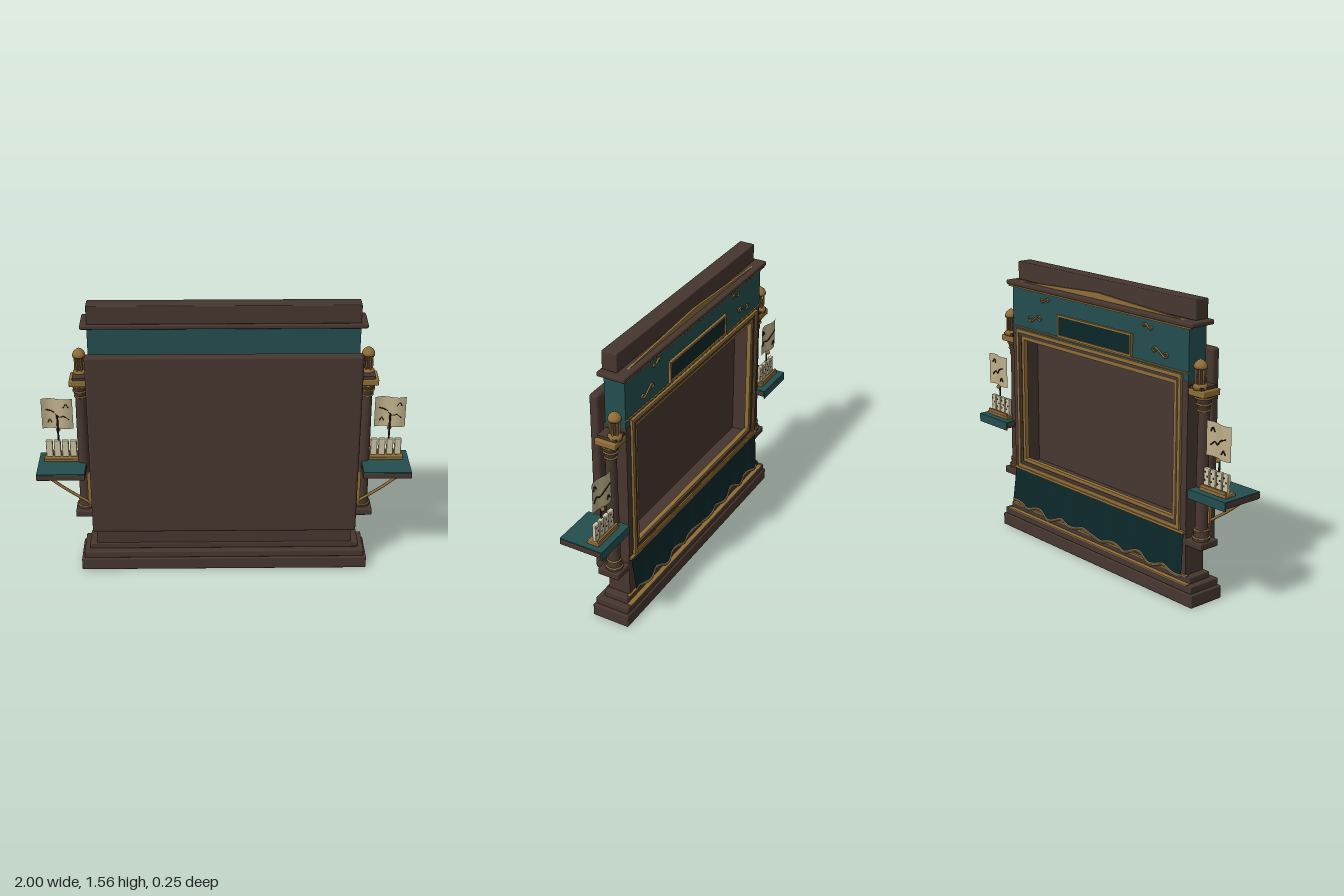
import * as THREE from 'three';
import { RoundedBoxGeometry } from 'three/addons/geometries/RoundedBoxGeometry.js';

const mat = (name, color, side = THREE.FrontSide) => {
  const m = new THREE.MeshStandardMaterial({ color, side });
  m.name = name;
  return m;
};

export function createModel() {
  const root = new THREE.Group();
  root.name = 'puppetTheatre';
  const wood = mat('dark wood', 0x47362f);
  const teal = mat('teal', 0x234e4f);
  const deep = mat('deep teal', 0x0b2728, THREE.DoubleSide);
  const gold = mat('old gold', 0x8f6d38);
  const paper = mat('paper', 0xbfb08a, THREE.DoubleSide);
  const ivory = mat('ivory', 0xcfc5a4);
  const ink = mat('ink', 0x2a211b);

  const add = (name, geo, m, x = 0, y = 0, z = 0, parent = root) => {
    const o = new THREE.Mesh(geo, m);
    o.name = name;
    o.position.set(x, y, z);
    parent.add(o);
    return o;
  };
  // box given by its limits on each axis; r rounds its edges
  const box = (name, m, x0, x1, y0, y1, z0, z1, r = 0, parent = root) => {
    const w = Math.abs(x1 - x0), h = y1 - y0, d = z1 - z0;
    const g = r ? new RoundedBoxGeometry(w, h, d, 2, r) : new THREE.BoxGeometry(w, h, d);
    return add(name, g, m, (x0 + x1) / 2, (y0 + y1) / 2, (z0 + z1) / 2, parent);
  };
  const tube = (name, m, pts, r, parent = root, n = 24) =>
    add(name, new THREE.TubeGeometry(new THREE.CatmullRomCurve3(pts.map(p => new THREE.Vector3(...p))), n, r, 6), m, 0, 0, 0, parent);
  // rectangular ring extruded along z from z0
  const ring = (name, m, x, y0, y1, t, z0, d) => {
    const s = new THREE.Shape([[-x, y0], [x, y0], [x, y1], [-x, y1]].map(p => new THREE.Vector2(...p)));
    s.holes.push(new THREE.Path([[-x + t, y0 + t], [-x + t, y1 - t], [x - t, y1 - t], [x - t, y0 + t]].map(p => new THREE.Vector2(...p))));
    return add(name, new THREE.ExtrudeGeometry(s, { depth: d, bevelEnabled: false }), m, 0, 0, z0);
  };
  const lathe = (name, m, pts, x, y, z, parent) =>
    add(name, new THREE.LatheGeometry(pts.map(p => new THREE.Vector2(...p)), 24), m, x, y, z, parent);

  // Stepped base
  box('baseStep', wood, -0.785, 0.785, 0, 0.07, -0.122, 0.09, 0.006);
  box('baseStep', wood, -0.77, 0.77, 0.07, 0.11, -0.115, 0.08, 0.006);
  box('baseStep', wood, -0.74, 0.74, 0.11, 0.145, -0.093, 0.047, 0.006);
  box('baseTrim', gold, -0.74, 0.74, 0.108, 0.114, -0.118, -0.09);
  box('baseTrim', gold, -0.72, 0.72, 0.142, 0.15, -0.097, -0.08);

  // Stage box, open to the back
  box('lowerBody', wood, -0.7, 0.7, 0.145, 0.41, -0.085, 0.04);
  box('stageWall', wood, -0.7, 0.7, 0.41, 1.16, 0.02, 0.04);
  for (const s of [-1, 1]) box('stageSide', wood, s * 0.62, s * 0.7, 0.41, 1.16, -0.088, 0.02);
  box('header', teal, -0.7, 0.7, 1.16, 1.43, -0.086, 0.03);
  box('cornice', wood, -0.735, 0.735, 1.43, 1.455, -0.105, 0.05, 0.008);
  box('topRail', wood, -0.7, 0.7, 1.455, 1.556, -0.045, 0.04, 0.005);

  // Rear board and the cleats that hold it
  box('rearBoard', wood, -0.715, 0.715, 0.255, 1.305, 0.062, 0.112, 0.015);
  for (const s of [-1, 1]) box('boardCleat', wood, s * 0.4, s * 0.5, 0.4, 1.1, 0.035, 0.07);

  // Stepped opening frame
  ring('frameOuter', gold, 0.66, 0.385, 1.19, 0.02, -0.1, 0.016);
  ring('frameMiddle', wood, 0.64, 0.405, 1.17, 0.018, -0.094, 0.012);
  ring('frameInner', gold, 0.625, 0.42, 1.155, 0.022, -0.09, 0.025);

  // Low pediment on the cornice
  const ped = new THREE.Shape([[-0.64, 0], [0.64, 0], [0, 0.035]].map(p => new THREE.Vector2(...p)));
  add('pediment', new THREE.ExtrudeGeometry(ped, { depth: 0.012, bevelEnabled: false }), gold, 0, 1.455, -0.073);
  box('corniceTrim', gold, -0.72, 0.72, 1.422, 1.43, -0.1, -0.08);
  box('headerTrim', gold, -0.7, 0.7, 1.198, 1.205, -0.092, -0.08);

  // Blank header plaque
  box('plaque', deep, -0.285, 0.285, 1.215, 1.32, -0.093, -0.085);
  ring('plaqueFrame', gold, 0.295, 1.207, 1.328, 0.012, -0.1, 0.016);

  // Scroll ornaments on the header
  for (const s of [-1, 1]) for (const [cx, cy, k] of [[0.5, 1.27, 1], [0.41, 1.385, 0.6]]) {
    const pts = [[-0.03, 0.004], [-0.045, -0.004], [-0.055, 0.01], [-0.035, 0.02], [0, 0],
      [0.035, -0.02], [0.055, -0.01], [0.045, 0.004], [0.03, -0.004]];
    tube('scroll', gold, pts.map(([x, y]) => [s * (cx + x * k), cy + y * k, -0.09]), 0.005);
  }

  // Pleated skirt with a scalloped fringe
  const hem = x => 0.165 + 0.014 * Math.sin(x * 30) + 0.006 * Math.sin(x * 13);
  const fold = (x, t) => -0.092 - t * (0.02 + 0.008 * Math.sin(x * 38));
  const cloth = new THREE.PlaneGeometry(1.38, 1, 110, 8);
  const p = cloth.attributes.position;
  for (let i = 0; i < p.count; i++) {
    const x = p.getX(i), t = 0.5 - p.getY(i);
    p.setXYZ(i, x, 0.375 + (hem(x) - 0.375) * t, fold(x, t));
  }
  cloth.computeVertexNormals();
  add('skirt', cloth, deep);
  const fringe = [];
  for (let i = 0; i <= 70; i++) {
    const x = -0.69 + 1.38 * i / 70;
    fringe.push([x, hem(x), fold(x, 1)]);
  }
  tube('fringe', paper, fringe, 0.0035, root, 140);
  tube('fringeCord', gold, fringe.map(([x, y, z]) => [x, y - 0.008, z]), 0.005, root, 140);
  box('skirtRail', gold, -0.695, 0.695, 0.368, 0.382, -0.1, -0.08);

  for (const s of [-1, 1]) {
    const g = new THREE.Group();
    g.name = s > 0 ? 'leftSide' : 'rightSide';
    root.add(g);

    // Column on its bracket
    const cx = s * 0.755, cz = -0.032;
    box('columnPlinth', wood, s * 0.69, s * 0.808, 0.308, 0.345, -0.086, 0.035, 0.006, g);
    lathe('column', wood, [[0.044, 0.345], [0.044, 0.362], [0.036, 0.375], [0.04, 0.39], [0.033, 0.41], [0.031, 0.7],
      [0.028, 1.02], [0.034, 1.035], [0.034, 1.05], [0.046, 1.095]], cx, 0, cz, g);
    for (const [y, r] of [[0.362, 0.043], [0.4, 0.035], [1.02, 0.03], [1.053, 0.036], [1.085, 0.043]])
      add('columnRing', new THREE.TorusGeometry(r, 0.005, 8, 24).rotateX(Math.PI / 2), gold, cx, y, cz, g);
    box('capital', gold, s * 0.7, s * 0.808, 1.095, 1.13, -0.09, 0.027, 0.006, g);
    box('capitalTop', wood, s * 0.71, s * 0.79, 1.13, 1.145, -0.086, 0.02, 0, g);

    // Lantern finial
    const lz = -0.06;
    lathe('lanternBase', gold, [[0, 1.13], [0.036, 1.13], [0.036, 1.15], [0.028, 1.158], [0, 1.158]], cx, 0, lz, g);
    add('lanternCore', new THREE.CylinderGeometry(0.017, 0.017, 0.09, 16), wood, cx, 1.197, lz, g);
    for (let i = 0; i < 6; i++) {
      const a = i * Math.PI / 3;
      add('lanternBar', new THREE.CylinderGeometry(0.005, 0.005, 0.09, 8), gold, cx + 0.023 * Math.cos(a), 1.197, lz + 0.023 * Math.sin(a), g);
    }
    lathe('lanternDome', gold, [[0, 1.235], [0.034, 1.235], [0.034, 1.248], [0.028, 1.262], [0.015, 1.274], [0.006, 1.278], [0, 1.285]], cx, 0, lz, g);

    // Side shelf with cloth top and strut
    box('shelf', wood, s * 0.74, s, 0.59, 0.622, -0.113, 0.125, 0.006, g);
    box('shelfCloth', teal, s * 0.742, s * 0.998, 0.621, 0.628, -0.115, 0.123, 0, g);
    box('shelfApron', teal, s * 0.742, s * 0.998, 0.58, 0.628, -0.12, -0.113, 0, g);
    tube('strut', gold, [[s * 0.965, 0.592, 0.055], [s * 0.85, 0.5, 0.055], [s * 0.72, 0.41, 0.055]], 0.008, g);
    box('strutPlate', gold, s * 0.7, s * 0.735, 0.4, 0.6, 0.045, 0.06, 0, g);

    // Tray and upright tiles
    box('tray', gold, s * 0.782, s * 0.968, 0.628, 0.645, -0.085, -0.015, 0.004, g);
    box('trayLip', gold, s * 0.79, s * 0.96, 0.645, 0.66, -0.083, -0.072, 0, g);
    for (let i = 0; i < 4; i++) {
      const x = s * (0.81 + i * 0.043);
      box('tile', ivory, x - 0.018, x + 0.018, 0.645, 0.742, -0.062, -0.042, 0.004, g);
      for (const [dx, y] of [[0.007, 0.722], [-0.007, 0.7], [0.007, 0.68]])
        add('tilePip', new THREE.CircleGeometry(0.006, 10).rotateY(Math.PI), ink, x + dx, y, -0.0628, g);
    }

    // Paper sheet on a post, with drawn strokes
    const px = s * 0.888;
    const wave = dx => -0.06 + 0.01 * Math.sin(dx * 38);
    const sheet = new THREE.PlaneGeometry(0.166, 0.177, 16, 1);
    const q = sheet.attributes.position;
    for (let i = 0; i < q.count; i++) q.setZ(i, wave(q.getX(i)));
    sheet.computeVertexNormals();
    add('sheet', sheet, paper, px, 0.897, 0, g);
    add('post', new THREE.CylinderGeometry(0.005, 0.005, 0.25, 8), ink, px, 0.765, -0.052, g);
    add('postKnob', new THREE.SphereGeometry(0.012, 12, 8), gold, px, 0.8, -0.062, g);
    for (const line of [
      [[0.06, -0.035], [0.035, -0.015], [0.01, -0.022], [-0.02, 0.005], [-0.06, 0.02]],
      [[0.06, 0.035], [0.048, 0.055], [0.035, 0.035]],
      [[-0.03, -0.06], [-0.042, -0.04], [-0.055, -0.06]]])
      tube('sheetStroke', ink, line.map(([x, y]) => [px + x, 0.9 + y, wave(x) - 0.002]), 0.0035, g);
  }
  return root;
}
